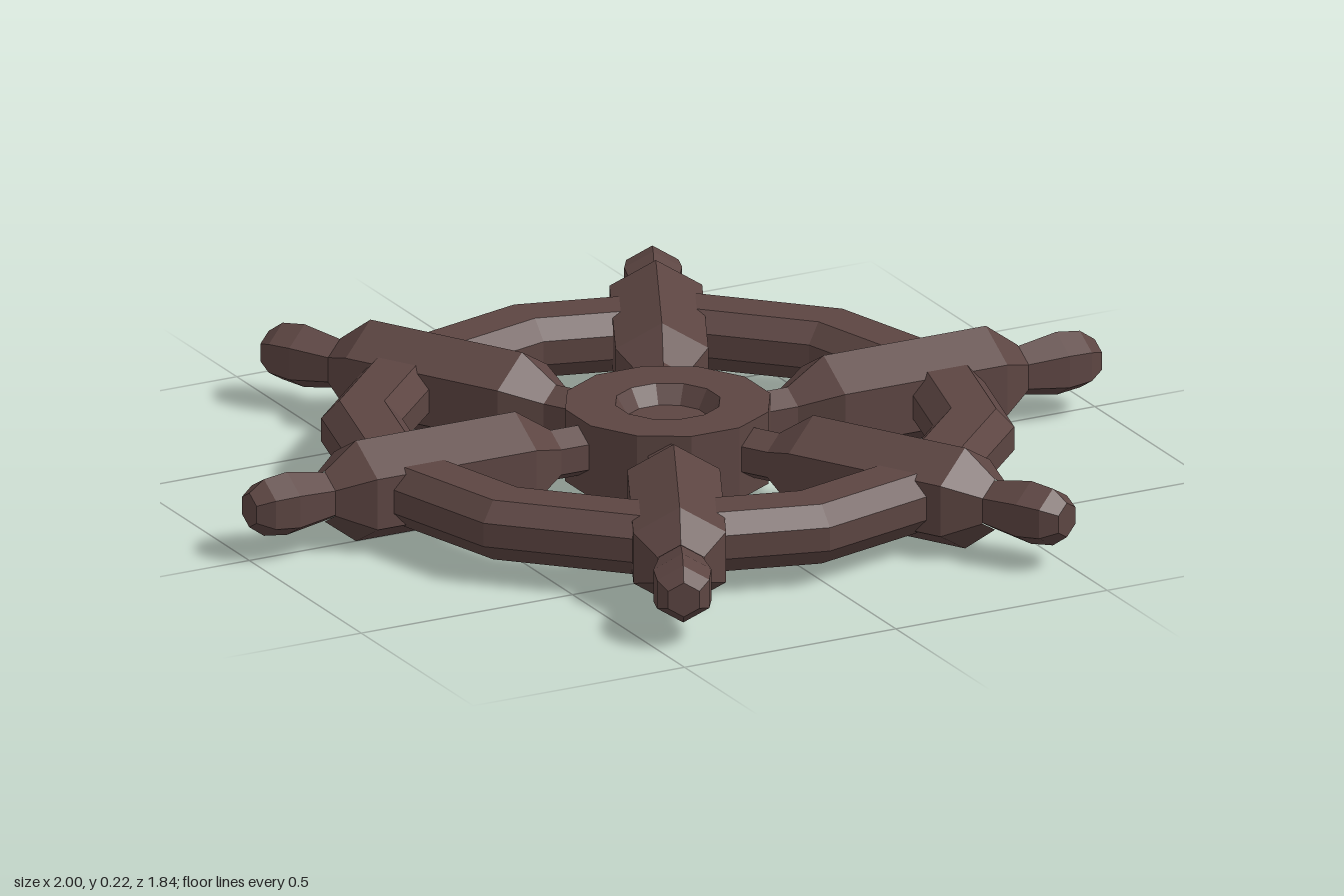
import * as THREE from 'three';

const CENTRE_Y = 0.117;

// Faceted solid of revolution about y
function facetedLathe(points, sides) {
  const lathe = new THREE.LatheGeometry(points.map(([r, y]) => new THREE.Vector2(r, y)), sides);
  const geometry = lathe.toNonIndexed();
  geometry.computeVertexNormals();
  return geometry;
}

export function createModel() {
  const wood = new THREE.MeshStandardMaterial({ color: 0x5c4542 });
  wood.name = 'darkWood';

  const wheel = new THREE.Group();
  wheel.name = 'shipWheel';
  wheel.position.x = -0.01;

  const addPart = (name, geometry, parent = wheel) => {
    const mesh = new THREE.Mesh(geometry, wood);
    mesh.name = name;
    parent.add(mesh);
    return mesh;
  };

  // Twelve-sided rim with bevelled edges
  const rimRadius = 0.64;
  const section = [
    [0.085, -0.026], [0.085, 0.026], [0.047, 0.066], [-0.047, 0.066],
    [-0.085, 0.026], [-0.085, -0.026], [-0.047, -0.066], [0.047, -0.066], [0.085, -0.026],
  ];
  const rim = addPart('rim', facetedLathe(section.map(([r, y]) => [rimRadius + r, y]), 12));
  rim.position.y = CENTRE_Y;

  // Hub with a shallow dished recess on top
  const hub = addPart('hub', facetedLathe([
    [0, 0.03], [0.22, 0.03], [0.22, 0.19], [0.112, 0.19], [0.088, 0.15], [0, 0.15],
  ], 12));
  hub.rotation.y = Math.PI / 12;

  // Six-sided turned spoke, laid along +x with a ridge facing up
  const layAlongX = (geometry) => geometry.rotateZ(-Math.PI / 2).rotateX(Math.PI / 2);
  const spokeGeometry = layAlongX(facetedLathe([
    [0.056, 0.15], [0.056, 0.28], [0.112, 0.365], [0.112, 0.745], [0.056, 0.82],
  ], 6));
  const handleGeometry = layAlongX(facetedLathe([
    [0.052, 0.81], [0.07, 0.91], [0.063, 0.965], [0.038, 1], [0, 1],
  ], 6));

  // Spoke angles in degrees, with a length factor for each
  const spokes = [[0, 1.01], [64, 1.01], [120, 0.985], [180, 0.99], [244, 1.01], [300, 0.985]];
  spokes.forEach(([degrees, length], i) => {
    const spoke = new THREE.Group();
    spoke.name = `spoke${i + 1}`;
    addPart('spokeShaft', spokeGeometry, spoke);
    addPart('spokeHandle', handleGeometry, spoke);
    spoke.position.y = CENTRE_Y;
    spoke.rotation.y = THREE.MathUtils.degToRad(degrees);
    spoke.scale.x = length;
    wheel.add(spoke);
  });

  const model = new THREE.Group();
  model.name = 'model';
  model.add(wheel);
  return model;
}
